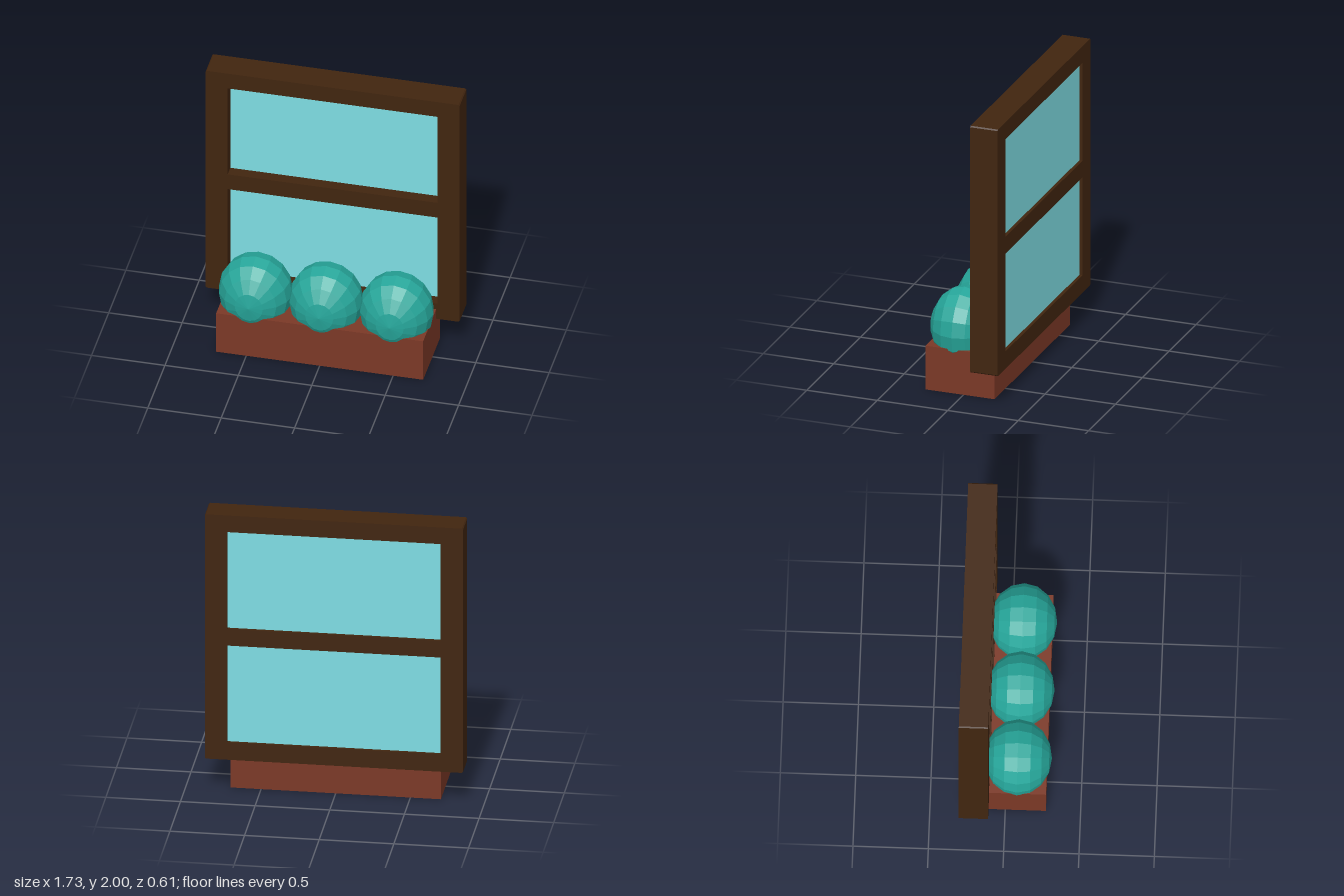
import * as THREE from 'three';

export function createModel() {
  const material = (name, color, flatShading = false) => {
    const m = new THREE.MeshStandardMaterial({ color, flatShading });
    m.name = name;
    return m;
  };
  const darkWood = material('dark wood', 0x41250f);
  const terracotta = material('terracotta', 0x7b3826);
  const leaf = material('leaf green', 0x26a69a, true);
  const glass = material('pale glass', 0x7edde3);

  const model = new THREE.Group();
  model.name = 'windowWithPlanter';
  const add = (name, geometry, mat, x, y, z) => {
    const mesh = new THREE.Mesh(geometry, mat);
    mesh.name = name;
    mesh.position.set(x, y, z);
    model.add(mesh);
    return mesh;
  };

  // Frame: outline with slightly clipped corners and two pane openings
  const w = 0.865, bottom = 0.235, top = 2, c = 0.008;
  const outline = new THREE.Shape([
    [-w + c, bottom], [w - c, bottom], [w, bottom + c], [w, top - c],
    [w - c, top], [-w + c, top], [-w, top - c], [-w, bottom + c],
  ].map(([x, y]) => new THREE.Vector2(x, y)));
  const panes = [[0.36, 1.06], [1.18, 1.88]];
  const hw = 0.715;
  for (const [y0, y1] of panes) {
    outline.holes.push(new THREE.Path([
      new THREE.Vector2(-hw, y0), new THREE.Vector2(-hw, y1),
      new THREE.Vector2(hw, y1), new THREE.Vector2(hw, y0),
    ]));
  }
  const frame = new THREE.ExtrudeGeometry(outline, { depth: 0.195, bevelEnabled: false });
  add('windowFrame', frame, darkWood, 0, 0, -0.303);

  // Panes sit nearer the back of the frame
  for (const [y0, y1] of panes) {
    add('pane', new THREE.BoxGeometry(hw * 2, y1 - y0, 0.095), glass, 0, (y0 + y1) / 2, -0.233);
  }

  // Planter box
  add('planter', new THREE.BoxGeometry(1.41, 0.313, 0.49), terracotta, 0, 0.1565, 0.025);

  // Faceted bushes, poles facing front and back
  const bush = new THREE.SphereGeometry(1, 16, 8).rotateX(Math.PI / 2).scale(0.25, 0.275, 0.225);
  for (const x of [-0.48, 0, 0.48]) add('bush', bush, leaf, x, 0.403, 0.077);

  return model;
}
